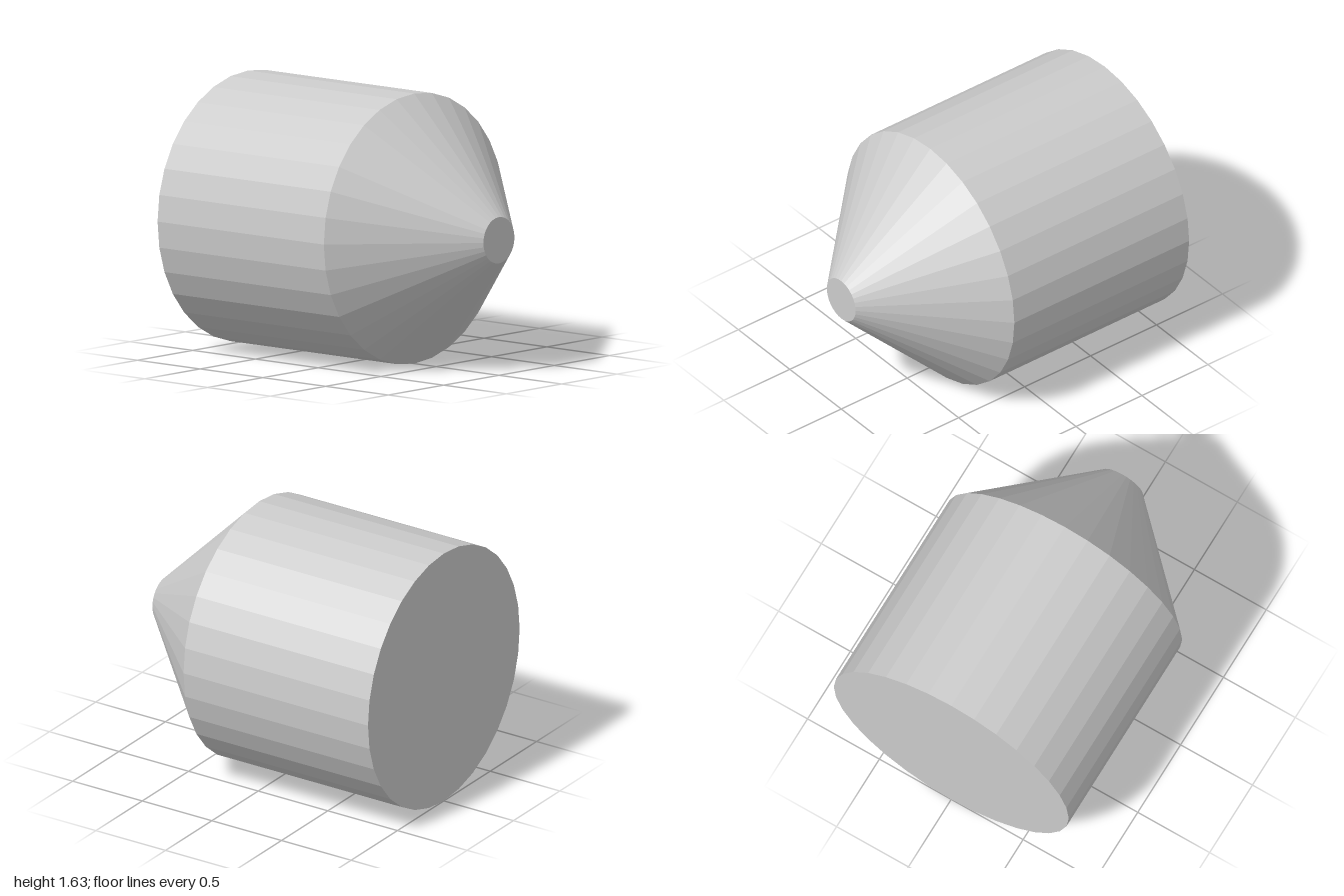
import * as THREE from 'three';

const SIDES = 32;
const RADIUS = 0.8175;
const TIP_RADIUS = 0.14;
const SHOULDER = 0.325; // x where the body meets the nose

export function createModel() {
  const group = new THREE.Group();
  const material = new THREE.MeshStandardMaterial({ color: 0xcccccc, flatShading: true });

  const add = (name, geometry) => {
    const mesh = new THREE.Mesh(geometry, material);
    mesh.name = name;
    group.add(mesh);
  };

  // Open-ended faceted section lying along x
  const section = (x0, x1, r0, r1) =>
    new THREE.CylinderGeometry(r1, r0, x1 - x0, SIDES, 1, true)
      .rotateZ(-Math.PI / 2)
      .translate((x0 + x1) / 2, RADIUS, 0);

  // Flat disc facing along +x or -x
  const cap = (x, radius, direction) =>
    new THREE.CircleGeometry(radius, SIDES)
      .rotateY(direction * Math.PI / 2)
      .translate(x, RADIUS, 0);

  add('body', section(-1, SHOULDER, RADIUS, RADIUS));
  add('nose', section(SHOULDER, 1, RADIUS, TIP_RADIUS));
  add('baseCap', cap(-1, RADIUS, -1));
  add('tipCap', cap(1, TIP_RADIUS, 1));

  return group;
}
